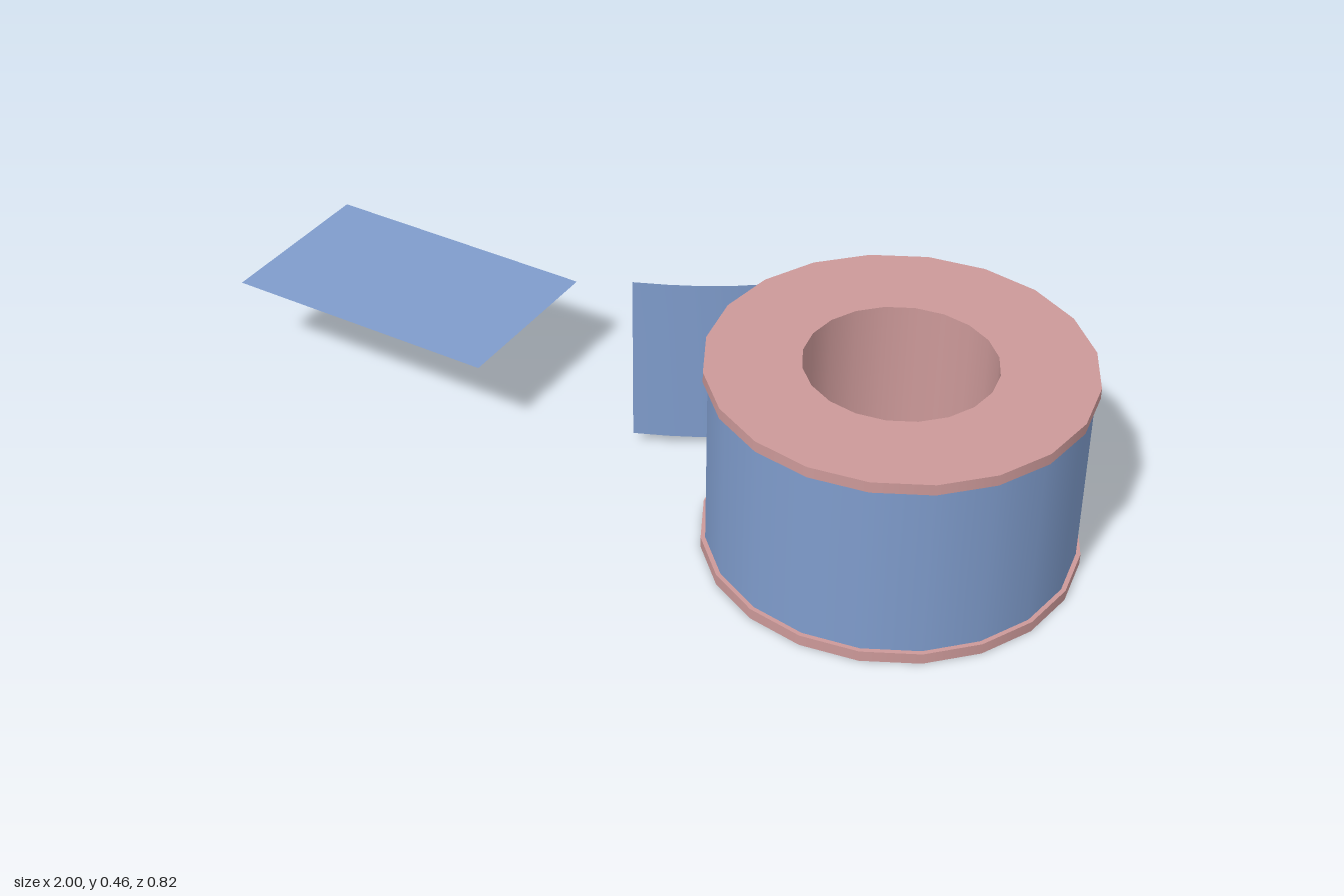
import * as THREE from 'three';
import { mergeGeometries } from 'three/addons/utils/BufferGeometryUtils.js';

const SIDES = 20;
const HEIGHT = 0.46, FLANGE = 0.025;
const R_FLANGE = 0.41, R_TAPE = 0.4, R_HOLE = 0.205;

// Surface of revolution, smooth around the axis, sharp at every profile corner
function revolve(profile) {
  const bands = [];
  for (let i = 0; i + 1 < profile.length; i++) {
    const pair = [profile[i], profile[i + 1]].map(([r, y]) => new THREE.Vector2(r, y));
    bands.push(new THREE.LatheGeometry(pair, SIDES));
  }
  return mergeGeometries(bands);
}

export function createModel() {
  const model = new THREE.Group();
  model.name = 'tapeRollWithPieces';
  const pink = new THREE.MeshStandardMaterial({ color: 0xcc9999 });
  const blue = new THREE.MeshStandardMaterial({ color: 0x7f9ccc });
  const blueSheet = new THREE.MeshStandardMaterial({ color: 0x7f9ccc, side: THREE.DoubleSide });

  const add = (parent, name, geometry, material) => {
    const mesh = new THREE.Mesh(geometry, material);
    mesh.name = name;
    parent.add(mesh);
    return mesh;
  };

  const spool = new THREE.Group();
  spool.name = 'spool';
  spool.position.x = 0.59;
  model.add(spool);

  // Flat ring flanges at both ends
  const ring = revolve([
    [R_HOLE, 0], [R_FLANGE, 0], [R_FLANGE, FLANGE], [R_HOLE, FLANGE],
  ]);
  add(spool, 'bottomFlange', ring, pink);
  add(spool, 'topFlange', ring, pink).position.y = HEIGHT - FLANGE;

  // Inner wall of the hole and the wound tape
  add(spool, 'coreWall', revolve([[R_HOLE, HEIGHT], [R_HOLE, 0]]), pink);
  add(spool, 'woundTape', revolve([[R_TAPE, FLANGE], [R_TAPE, HEIGHT - FLANGE]]), blue);

  // Loose end peeling off the back of the roll
  const path = new THREE.QuadraticBezierCurve(
    new THREE.Vector2(-0.342, -0.208),
    new THREE.Vector2(-0.42, -0.095),
    new THREE.Vector2(-0.65, -0.003),
  );
  const width = HEIGHT - 2 * FLANGE;
  const tail = new THREE.PlaneGeometry(1, width, 6, 1);
  const pos = tail.attributes.position;
  for (let i = 0; i < pos.count; i++) {
    const p = path.getPoint(pos.getX(i) + 0.5);
    pos.setXYZ(i, p.x, pos.getY(i) + HEIGHT / 2, p.y);
  }
  tail.computeVertexNormals();
  add(spool, 'looseTapeEnd', tail, blueSheet);

  // Separate cut strip lying level at mid height
  const strip = new THREE.PlaneGeometry(0.665, 0.405).rotateX(-Math.PI / 2);
  add(model, 'cutStrip', strip, blueSheet).position.set(-0.6675, HEIGHT / 2, 0);

  return model;
}
